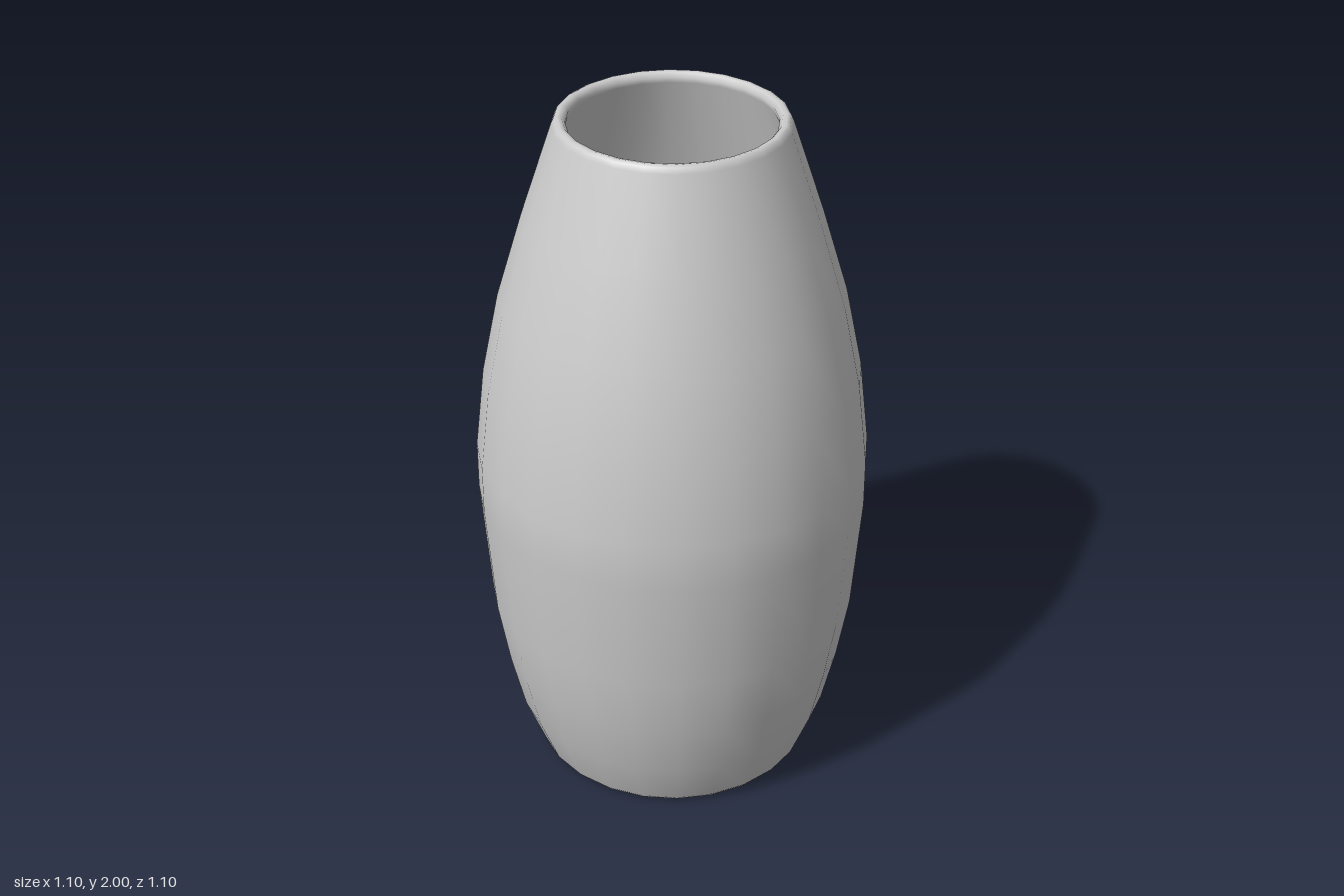
import * as THREE from 'three';

const SIDES = 24;
const HALF_STEP = Math.PI / SIDES;

export function createModel() {
  const group = new THREE.Group();
  group.name = 'vase';

  // Closed wall section [radius, height]: base, outside, rolled rim, inside, inner floor
  const section = [
    [0, 0], [0.375, 0], [0.387, 0.004], [0.399, 0.018],
    [0.455, 0.16], [0.495, 0.33], [0.528, 0.52], [0.555, 0.86], [0.555, 1.0],
    [0.528, 1.24], [0.48, 1.475], [0.407, 1.72], [0.321, 1.98],
    [0.314, 1.995], [0.304, 2], [0.292, 1.997], [0.283, 1.985],
    [0.285, 1.97], [0.372, 1.71], [0.445, 1.465], [0.492, 1.235],
    [0.519, 1.0], [0.519, 0.86], [0.492, 0.525], [0.46, 0.34],
    [0.42, 0.18], [0.37, 0.055], [0, 0.035],
  ].map(([r, y]) => new THREE.Vector2(r, y));

  // Half-step turn puts flats, not corners, on the main axes
  const geometry = new THREE.LatheGeometry(section, SIDES, HALF_STEP);
  const body = new THREE.Mesh(geometry, new THREE.MeshStandardMaterial({ color: 0xcccccc }));
  body.name = 'vaseBody';
  group.add(body);
  return group;
}
